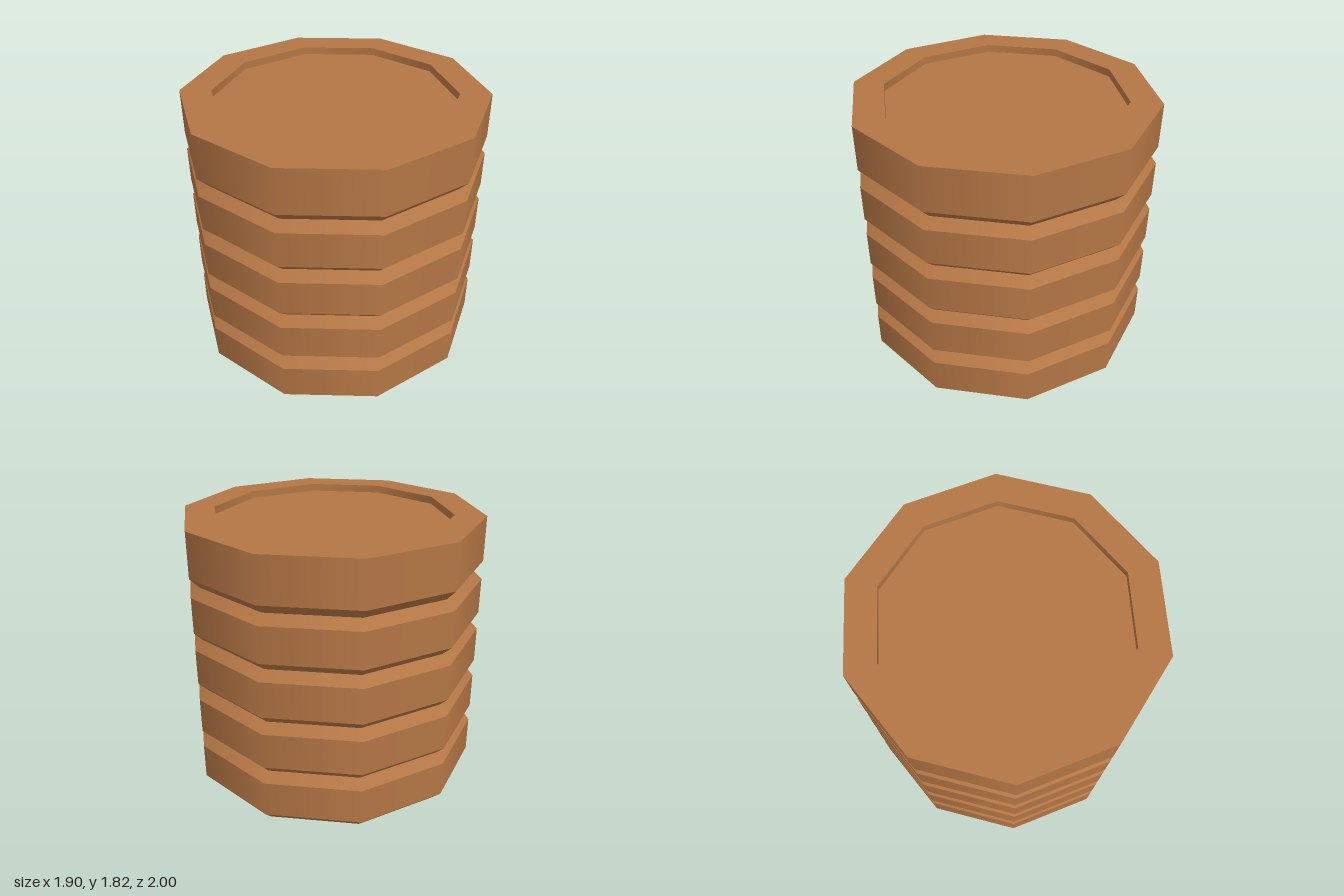
import * as THREE from 'three';

const SIDES = 10;

export function createModel() {
  const model = new THREE.Group();
  model.name = 'coinStack';
  const copper = new THREE.MeshStandardMaterial({ color: 0xb47645 });
  copper.name = 'copper';

  // Each pair of profile points becomes its own ring: smooth around, sharp between rings
  function coin(name, profile, y) {
    const group = new THREE.Group();
    group.name = name;
    group.position.y = y;
    for (let i = 0; i < profile.length - 1; i++) {
      const pair = [profile[i], profile[i + 1]].map(([r, h]) => new THREE.Vector2(r, h));
      const ring = new THREE.Mesh(new THREE.LatheGeometry(pair, SIDES), copper);
      ring.name = name + 'Ring' + (i + 1);
      group.add(ring);
    }
    model.add(group);
  }

  // Four lower coins, bevelled on both edges
  const pitch = 0.362;
  const rim = 0.937;
  const bevelled = [[0, 0], [rim, 0], [1, 0.062], [1, 0.303], [rim, pitch], [0, pitch]];
  for (let i = 0; i < 4; i++) coin('coin' + (i + 1), bevelled, i * pitch);

  // Top coin with a raised flat rim and a recessed face
  coin('topCoin', [
    [0, 0], [rim, 0], [1, 0.067], [1, 0.368],
    [0.795, 0.368], [0.795, 0.318], [0, 0.318],
  ], 4 * pitch);

  return model;
}
